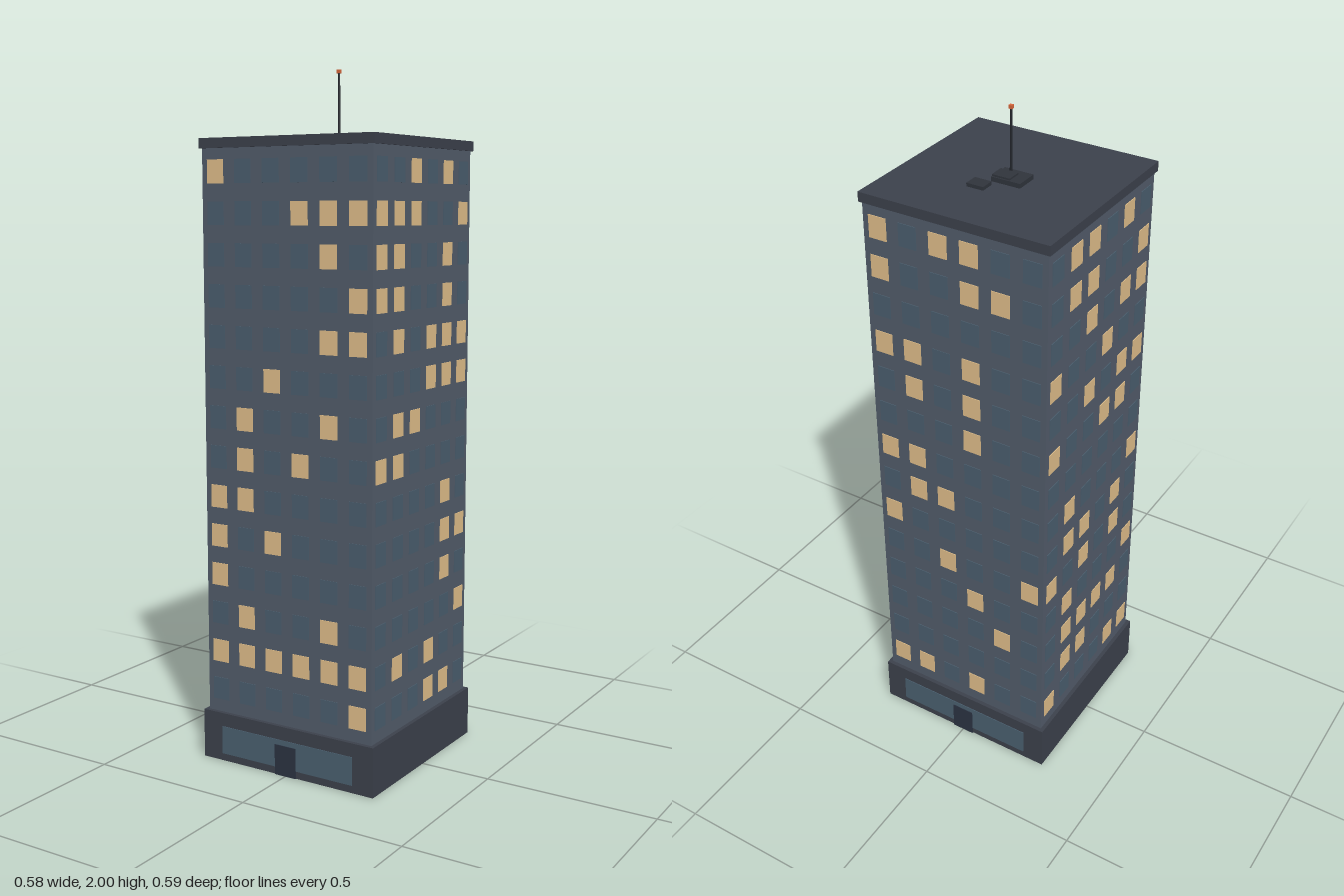
import * as THREE from 'three';
import { mergeGeometries } from 'three/addons/utils/BufferGeometryUtils.js';

const paint = (color) => new THREE.MeshStandardMaterial({ color });
const mats = {
  wall: paint(0x525c6a), stone: paint(0x3c414c), glass: paint(0x4a6070), dark: paint(0x2b3342),
  unlit: paint(0x4a5e6e), lit: paint(0xe0be8a), plant: paint(0x30343c), mast: paint(0x22252b), lamp: paint(0xd9683c),
};

// Lit windows: one string per floor from the top down, listing columns left to right as seen facing the wall
const facades = [
  { name: 'front', turn: 0, lit: ['0', '345', '4', '5', '45', '2', '14', '13', '01', '02', '0', '14', '012345', '5'] },
  { name: 'left', turn: Math.PI / 2, lit: ['24', '0125', '014', '014', '1345', '345', '12', '01', '4', '45', '4', '5', '13', '34'] },
  { name: 'back', turn: Math.PI, lit: ['023', '034', '', '013', '13', '3', '01', '12', '0', '25', '3', '4', '', '013'] },
  { name: 'right', turn: -Math.PI / 2, lit: ['124', '125', '245', '03', '245', '034', '', '15', '124', '024', '15', '1234', '12', '045'] },
];

export function createModel() {
  const model = new THREE.Group();

  // Box from its size, centre x/z and bottom height
  const box = (name, mat, w, h, d, x, y, z, parent = model) => {
    const mesh = new THREE.Mesh(new THREE.BoxGeometry(w, h, d), mat);
    mesh.name = name;
    mesh.position.set(x, y + h / 2, z);
    parent.add(mesh);
    return mesh;
  };

  // Main masses
  box('base', mats.stone, 0.58, 0.145, 0.58, 0, 0, 0);
  box('tower', mats.wall, 0.556, 1.635, 0.556, 0, 0.145, 0);
  box('roofSlab', mats.stone, 0.57, 0.028, 0.57, 0, 1.777, 0);

  // Lobby glass and doors, at both front and back
  for (const s of [1, -1]) {
    const side = s > 0 ? 'front' : 'back';
    box(side + 'LobbyGlass', mats.glass, 0.446, 0.083, 0.012, 0, 0.022, s * 0.286);
    box(side + 'Door', mats.dark, 0.07, 0.09, 0.012, 0, 0, s * 0.288);
  }
  // Passage floor running between the doors
  box('passageFloor', mats.dark, 0.07, 0.002, 0.58, 0, -0.0005, 0);

  // Window grid on each wall
  for (const { name, turn, lit } of facades) {
    const facade = new THREE.Group();
    facade.name = name + 'Facade';
    facade.rotation.y = turn;
    const panes = { lit: [], unlit: [] };
    for (let row = 0; row < 14; row++) {
      for (let col = 0; col < 6; col++) {
        const pane = new THREE.BoxGeometry(0.055, 0.066, 0.004);
        pane.translate((col - 2.5) * 0.0932, 1.713 - row * 0.1152, 0.278);
        panes[lit[row].includes(String(col)) ? 'lit' : 'unlit'].push(pane);
      }
    }
    for (const kind of ['lit', 'unlit']) {
      const mesh = new THREE.Mesh(mergeGeometries(panes[kind]), mats[kind]);
      mesh.name = name + (kind === 'lit' ? 'LitWindows' : 'DarkWindows');
      facade.add(mesh);
    }
    model.add(facade);
  }

  // Rooftop plant
  const plant = new THREE.Group();
  plant.name = 'rooftopPlant';
  box('largeUnit', mats.plant, 0.087, 0.013, 0.068, -0.016, 1.805, -0.02, plant);
  box('upperUnit', mats.plant, 0.054, 0.018, 0.044, 0.001, 1.805, -0.028, plant);
  box('smallUnit', mats.plant, 0.051, 0.01, 0.041, 0.04, 1.805, -0.093, plant);
  model.add(plant);

  // Antenna with warning lamp
  const mast = new THREE.Mesh(new THREE.CylinderGeometry(0.003, 0.004, 0.188, 8), mats.mast);
  mast.name = 'antennaMast';
  mast.position.y = 1.899;
  model.add(mast);
  box('antennaLamp', mats.lamp, 0.01, 0.01, 0.01, 0, 1.99, 0);

  return model;
}
